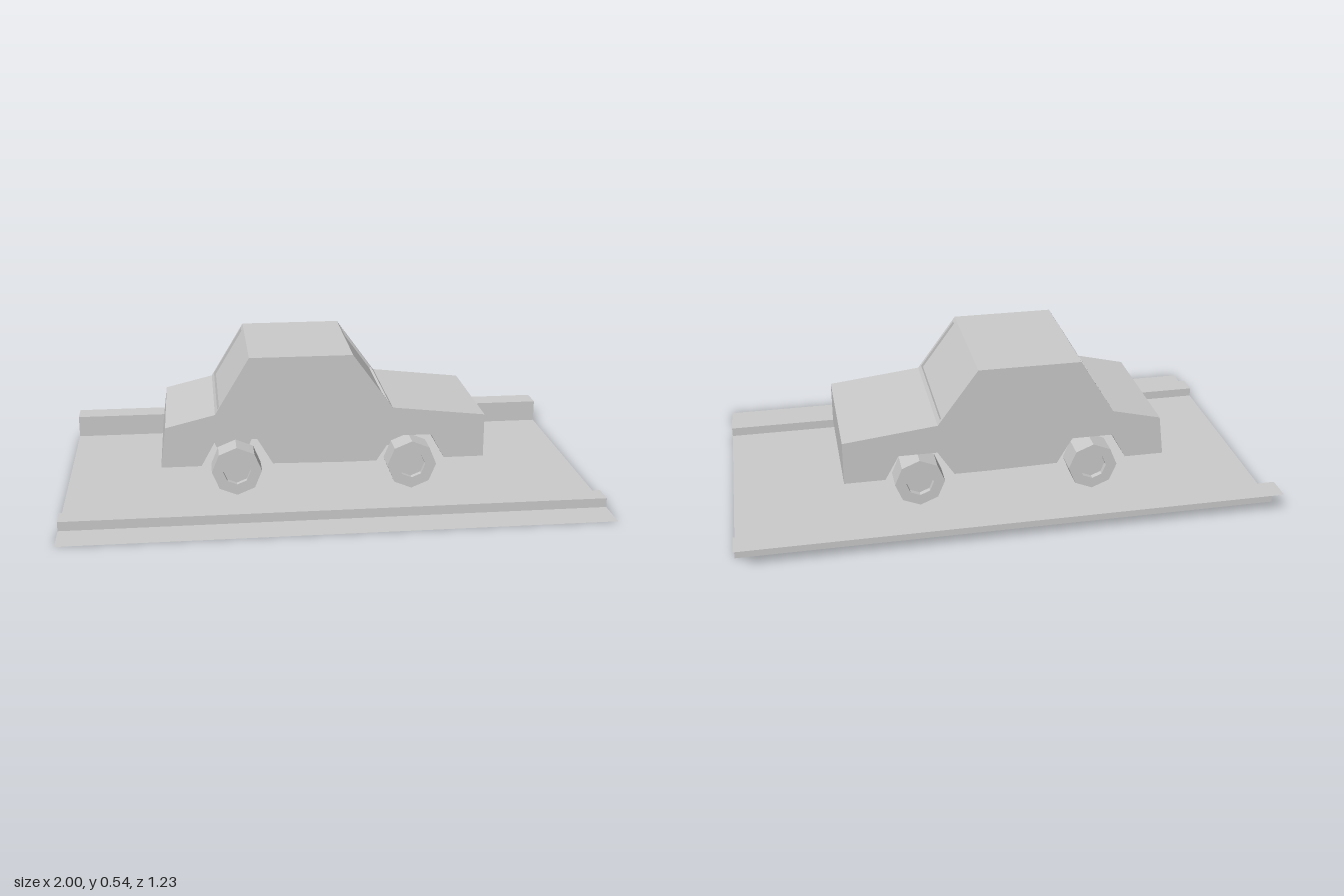
import * as THREE from 'three';

const grey = new THREE.MeshStandardMaterial({ color: 0xcccccc, flatShading: true });
const sheet = new THREE.MeshStandardMaterial({ color: 0xcccccc, flatShading: true, side: THREE.DoubleSide });

const BACK = -0.29, FRONT = 0.22, PANEL = 0.015; // car sides along z, side panel thickness

// Corners of the cabin slopes
const rearLow = [-0.43, 0.325], rearTop = [-0.30, 0.54];
const screenTop = [0.085, 0.54], screenLow = [0.237, 0.33];

const vectors = (points) => points.map(([x, y]) => new THREE.Vector2(x, y));

function part(name, geometry, material = grey) {
  const mesh = new THREE.Mesh(geometry, material);
  mesh.name = name;
  return mesh;
}

// Side outline of the car, with optional recessed glass on the two slopes
function bodyOutline(rearGlass = [], frontGlass = []) {
  return [
    [-0.635, 0.125], [-0.615, 0.28], rearLow, ...rearGlass, rearTop,
    screenTop, ...frontGlass, screenLow, [0.59, 0.29], [0.59, 0.123],
    [0.437, 0.123], [0.385, 0.218], [0.24, 0.218], [0.177, 0.12], [0.045, 0.12],
    [-0.217, 0.125], [-0.275, 0.225], [-0.43, 0.225], [-0.485, 0.125],
  ];
}

// Four points of a shallow recess in the edge from a to b
function recess(a, b, t0, t1, depth) {
  const dx = b[0] - a[0], dy = b[1] - a[1], n = depth / Math.hypot(dx, dy);
  const at = (t, k) => [a[0] + dx * t + dy * n * k, a[1] + dy * t - dx * n * k];
  return [at(t0, 0), at(t0, 1), at(t1, 1), at(t1, 0)];
}

function extrude(points, holes, z, depth) {
  const shape = new THREE.Shape(vectors(points));
  shape.holes = holes.map((hole) => new THREE.Path(vectors(hole)));
  return new THREE.ExtrudeGeometry(shape, { depth, bevelEnabled: false }).translate(0, 0, z);
}

// Octagonal tyre with a sunken hub on its outer face
function wheelGeometry() {
  const R = 0.094, r = 0.052, half = 0.047, sunk = 0.02;
  const profile = [[0, -half], [R, -half], [R, half], [r, half], [r, half - sunk], [0, half - sunk]];
  return new THREE.LatheGeometry(vectors(profile), 8).rotateX(Math.PI / 2);
}

// Folded road surface, swept along x from a [z, y] profile
function roadGeometry() {
  const profile = [[-0.615, 0.087], [-0.52, 0.087], [-0.52, 0], [0.40, 0],
    [0.40, 0.035], [0.48, 0.035], [0.48, 0], [0.612, 0]];
  const position = [], index = [];
  profile.forEach(([z, y], i) => {
    position.push(-1, y, z, 1, y, z);
    const k = 2 * i;
    if (i) index.push(k - 2, k, k - 1, k - 1, k, k + 1);
  });
  const geometry = new THREE.BufferGeometry();
  geometry.setAttribute('position', new THREE.Float32BufferAttribute(position, 3));
  geometry.setIndex(index);
  const flat = geometry.toNonIndexed();
  flat.computeVertexNormals();
  return flat;
}

export function createModel() {
  const model = new THREE.Group();
  model.name = 'carOnRoad';
  model.add(part('road', roadGeometry(), sheet));

  const car = new THREE.Group();
  car.name = 'car';
  model.add(car);

  // Body core with sunken rear window and windscreen
  const core = bodyOutline(
    recess(rearLow, rearTop, 0.07, 0.94, 0.009),
    recess(screenTop, screenLow, 0.062, 0.93, 0.009),
  );
  car.add(part('bodyCore', extrude(core, [], BACK + PANEL, FRONT - BACK - 2 * PANEL)));

  // Side panels with openings for the two side windows
  const windows = [
    [[-0.406, 0.34], [-0.298, 0.525], [-0.19, 0.525], [-0.228, 0.34]],
    [[-0.20, 0.338], [-0.163, 0.53], [0.079, 0.53], [0.212, 0.345]],
  ];
  for (const [name, z] of [['backSidePanel', BACK], ['frontSidePanel', FRONT - PANEL]]) {
    car.add(part(name, extrude(bodyOutline(), windows, z, PANEL)));
  }

  // Wheels, hubs facing outwards
  const wheel = wheelGeometry();
  for (const [end, x] of [['rear', -0.354], ['front', 0.31]]) {
    for (const [side, z, turn] of [['Left', -0.261, Math.PI], ['Right', 0.195, 0]]) {
      const mesh = part(`${end}${side}Wheel`, wheel);
      mesh.position.set(x, 0.106, z);
      mesh.rotation.y = turn;
      car.add(mesh);
    }
  }
  return model;
}
